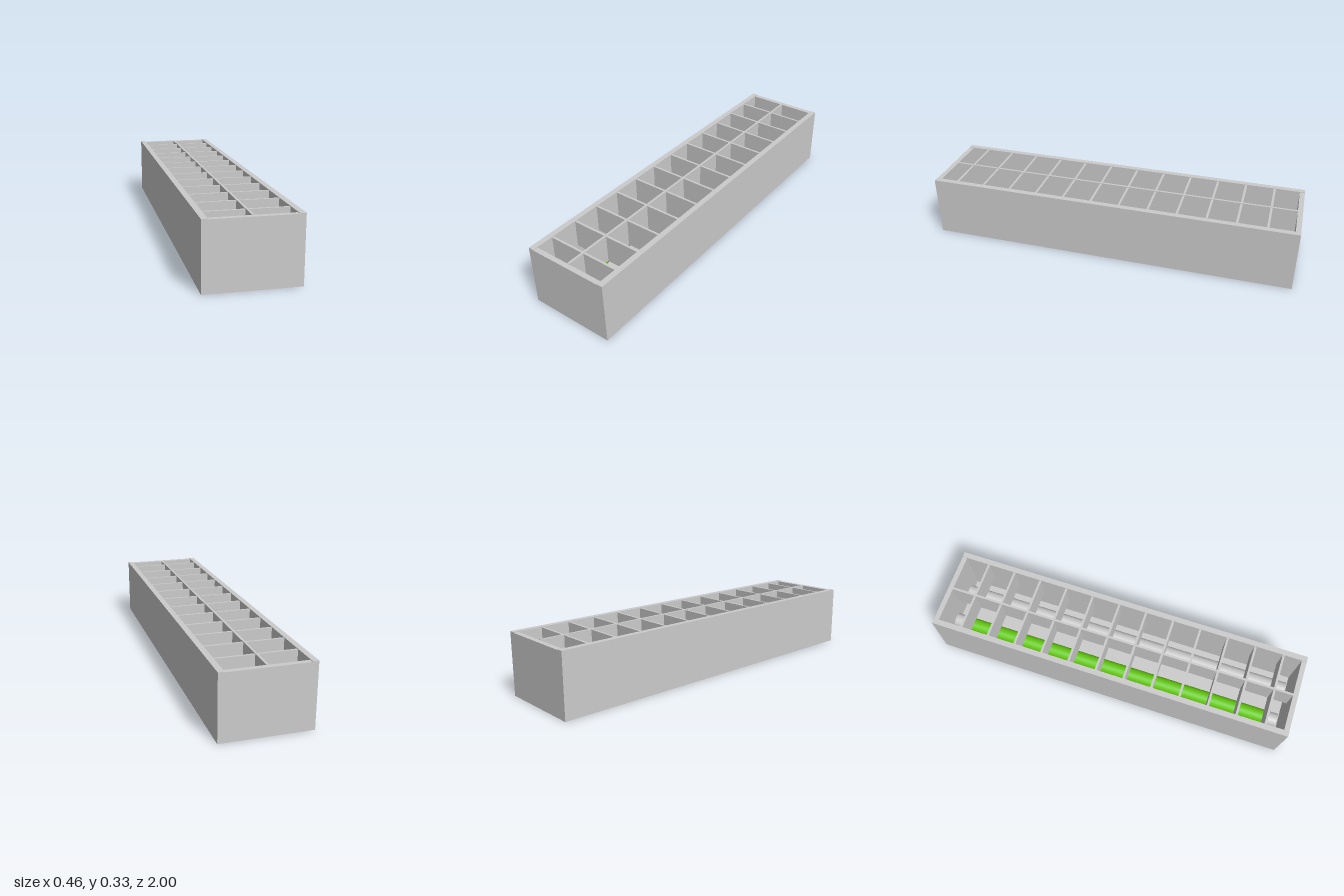
import * as THREE from 'three';

const grey = new THREE.MeshStandardMaterial({ color: 0xcccccc });
const green = new THREE.MeshStandardMaterial({ color: 0x66cc11 });

export function createModel() {
  const model = new THREE.Group();
  model.name = 'louveredLightFixture';

  // Box given by its min and max corners
  const box = (name, [x0, y0, z0], [x1, y1, z1], parent = model) => {
    const mesh = new THREE.Mesh(new THREE.BoxGeometry(x1 - x0, y1 - y0, z1 - z0), grey);
    mesh.position.set((x0 + x1) / 2, (y0 + y1) / 2, (z0 + z1) / 2);
    mesh.name = name;
    parent.add(mesh);
  };

  const W = 0.23, H = 0.334, L = 1, inner = 0.2, endInner = 0.973;
  const baseTop = 0.033, finTop = 0.331;

  // Housing: floor tray, long side rails and slightly lower end walls
  box('base', [-W, 0, -L], [W, baseTop, L]);
  box('leftRail', [inner, baseTop, -L], [W, H, L]);
  box('rightRail', [-W, baseTop, -L], [-inner, H, L]);
  box('frontWall', [-inner, baseTop, endInner], [inner, finTop, L]);
  box('backWall', [-inner, baseTop, -L], [inner, finTop, -endInner]);

  // Louver grid: one lengthwise divider and evenly spaced cross fins
  const louver = new THREE.Group();
  louver.name = 'louver';
  model.add(louver);
  const finBottom = 0.18, half = 0.006, finCount = 12;
  box('divider', [-half, finBottom, -endInner], [half, H, endInner], louver);
  for (let i = 0; i < finCount; i++) {
    const z = -0.839 + i * 0.1557;
    for (const [x0, x1] of [[-inner, -half], [half, inner]]) {
      box('crossFin', [x0, finBottom, z - half], [x1, finTop, z + half], louver);
    }
  }

  // Lamp tubes lying under the louver
  const tubePart = (name, x, z0, z1, material) => {
    const geometry = new THREE.CylinderGeometry(0.038, 0.038, z1 - z0, 32).rotateX(Math.PI / 2);
    const mesh = new THREE.Mesh(geometry, material);
    mesh.position.set(x, 0.11, (z0 + z1) / 2);
    mesh.name = name;
    model.add(mesh);
  };
  for (const [x, material] of [[-0.095, green], [0.095, grey]]) {
    tubePart('lampBackCap', x, -0.957, -0.91, grey);
    tubePart('lampTube', x, -0.91, 0.905, material);
    tubePart('lampFrontCap', x, 0.905, 0.952, grey);
  }
  return model;
}
